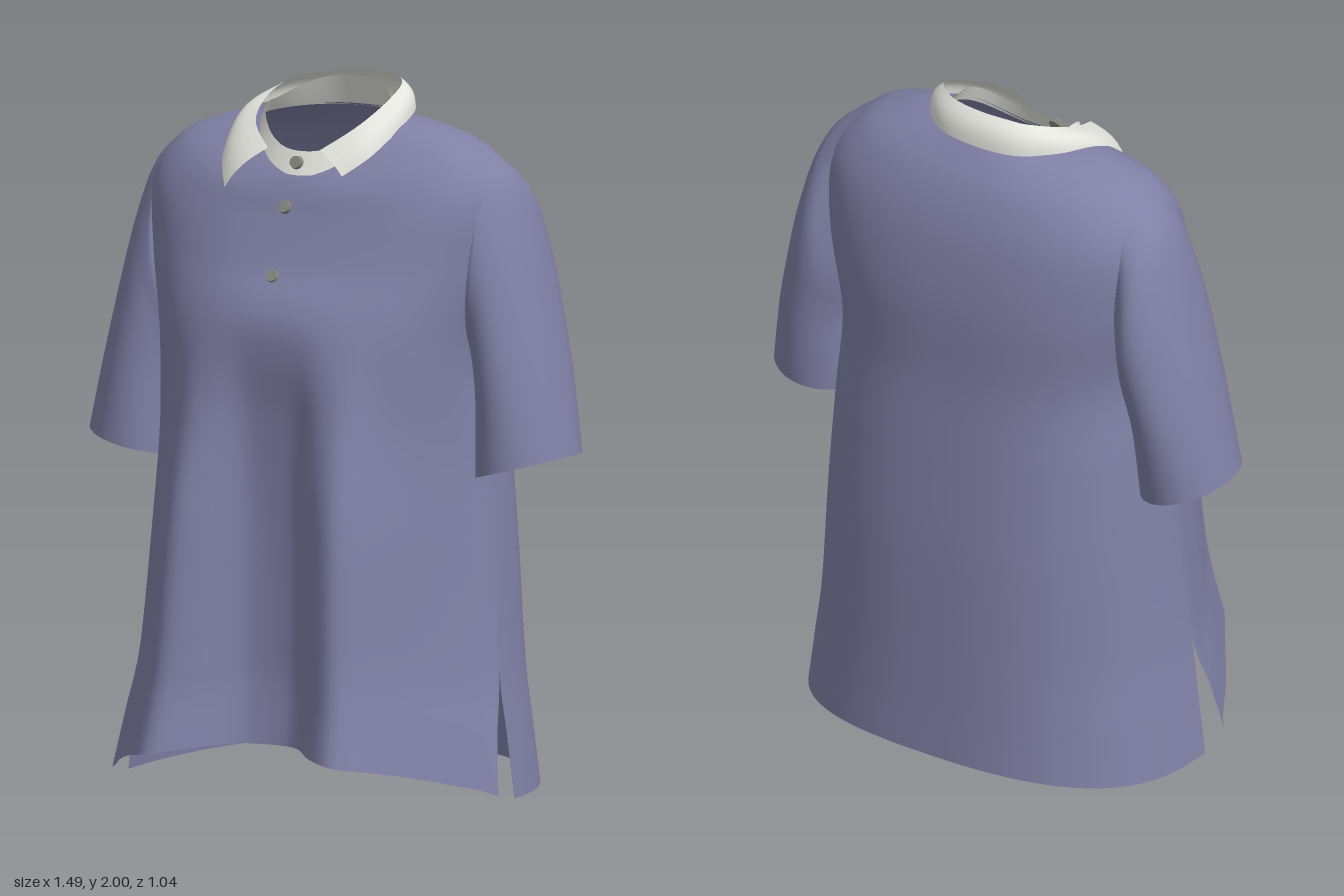
import * as THREE from 'three';
import { mergeGeometries, mergeVertices } from 'three/addons/utils/BufferGeometryUtils.js';

const cloth = new THREE.MeshStandardMaterial({ color: 0x8080a6, side: THREE.DoubleSide });
cloth.name = 'blueViolet cloth';
const white = new THREE.MeshStandardMaterial({ color: 0xe4e4de, side: THREE.DoubleSide });
white.name = 'offWhite collar';
const grey = new THREE.MeshStandardMaterial({ color: 0x8a8a83 });
grey.name = 'grey button';

// Smooth interpolation through evenly spaced values
function spline(values, t) {
  const n = values.length - 1;
  const i = Math.min(Math.floor(t), n - 1), f = t - i;
  const p = (k) => values[Math.max(0, Math.min(n, k))];
  const [a, b, c, d] = [p(i - 1), p(i), p(i + 1), p(i + 2)];
  return b + 0.5 * f * (c - a + f * (2 * a - 5 * b + 4 * c - d + f * (3 * (b - c) + d - a)));
}
const sampleRow = (rows, t) => rows[0].map((_, k) => spline(rows.map((r) => r[k]), t));

// Indexed surface from a function of (u, v) in 0..1, leaving out the quads that skip() picks
function surface(fn, nu, nv, skip = () => false) {
  const pos = [], index = [];
  for (let j = 0; j <= nv; j++) for (let i = 0; i <= nu; i++) pos.push(...fn(i / nu, j / nv));
  for (let j = 0; j < nv; j++) {
    for (let i = 0; i < nu; i++) {
      if (skip((i + 0.5) / nu, (j + 0.5) / nv)) continue;
      const a = j * (nu + 1) + i, b = a + 1, c = a + nu + 1, d = c + 1;
      index.push(a, b, d, a, d, c);
    }
  }
  const g = new THREE.BufferGeometry();
  g.setAttribute('position', new THREE.Float32BufferAttribute(pos, 3));
  g.setIndex(index);
  return g;
}

// Weld coincident corners and smooth
function smooth(...parts) {
  const g = mergeVertices(mergeGeometries(parts), 1e-4);
  g.computeVertexNormals();
  return g;
}

// Body rows, hem to neck: front y, front side y, back side y, back y, half width,
// front side z, back side z, front z, back z, drape, squareness
const bodyRows = [
  [0.16, 0.02, 0.0, 0.05, 0.603, 0.09, -0.01, 0.53, -0.522, 1, 2.5],
  [0.30, 0.18, 0.18, 0.19, 0.58, 0.05, -0.01, 0.493, -0.513, 0.92, 2.5],
  [0.43, 0.36, 0.36, 0.36, 0.557, -0.01, -0.01, 0.475, -0.505, 0.8, 2.5],
  [0.80, 0.70, 0.70, 0.68, 0.525, -0.06, -0.06, 0.44, -0.49, 0.65, 2.5],
  [1.08, 1.00, 1.00, 0.95, 0.495, -0.10, -0.10, 0.38, -0.465, 0.35, 2.5],
  [1.34, 1.25, 1.25, 1.20, 0.48, -0.10, -0.10, 0.322, -0.44, 0, 2.5],
  [1.50, 1.50, 1.50, 1.45, 0.525, -0.11, -0.11, 0.243, -0.43, 0, 2.5],
  [1.62, 1.70, 1.70, 1.65, 0.535, -0.11, -0.11, 0.19, -0.395, 0, 2.5],
  [1.69, 1.815, 1.815, 1.78, 0.455, -0.10, -0.10, 0.165, -0.345, 0, 2.4],
  [1.73, 1.87, 1.87, 1.85, 0.33, -0.10, -0.10, 0.145, -0.295, 0, 2.2],
  [1.76, 1.895, 1.895, 1.895, 0.20, -0.09, -0.09, 0.125, -0.25, 0, 2],
];
const standRows = [
  [1.745, 1.88, 1.88, 1.89, 0.208, -0.09, -0.09, 0.137, -0.255, 0, 2],
  [1.81, 1.92, 1.92, 1.98, 0.18, -0.06, -0.06, 0.108, -0.215, 0, 2],
];
// Two hanging front folds with a hollow between them, centre to side
const drapeProfile = [0.55, 0.6, 0.88, 0.97, 0.68, 0.35, 0];

// Point on the front or back half at row t; angle runs from -PI/2 to PI/2 across it
function shellPoint(rows, t, front, angle) {
  const [yf, ysf, ysb, yb, w, zsf, zsb, zf, zb, drape, n] = sampleRow(rows, t);
  const s = Math.sin(angle), u = Math.min(1, Math.abs(s));
  const round = Math.pow(1 - Math.pow(u, n), 1 / n);
  const k = front ? THREE.MathUtils.lerp(round, spline(drapeProfile, u * 6), drape) : round;
  const [yc, ys, zc, zs] = front ? [yf, ysf, zf, zsf] : [yb, ysb, zb, zsb];
  return [w * s, ys + (yc - ys) * (1 - Math.pow(u, 2.5)), zs + (zc - zs) * k];
}

// Armhole: an oval on the body, centred on the side seam
const armhole = { row: 6.5, rows: 1.6, front: 0.36, back: 0.45 };

function shell(rows, from, to, nv, skip) {
  const half = (front) => surface(
    (a, b) => shellPoint(rows, from + (to - from) * b, front, (a - 0.5) * Math.PI * (front ? 1 : -1)),
    64, nv,
    skip && ((a, b) => skip(from + (to - from) * b, front, Math.PI * Math.min(a, 1 - a))),
  );
  return smooth(half(true), half(false));
}
const insideArmhole = (t, front, fromSeam) =>
  Math.hypot((t - armhole.row) / armhole.rows, fromSeam / (front ? armhole.front : armhole.back)) < 0.9;

// Sleeve rings below the armhole: outer x, y, inner x, y, centre z, half depth
const sleeveRings = [
  [0.548, 1.735, 0.465, 1.215, -0.125, 0.192],
  [0.605, 1.58, 0.468, 1.20, -0.125, 0.198],
  [0.655, 1.38, 0.472, 1.17, -0.118, 0.196],
  [0.70, 1.18, 0.475, 1.10, -0.108, 0.19],
  [0.743, 0.97, 0.475, 0.90, -0.09, 0.178],
];
function sleeve(side, from, to, nv) {
  return smooth(surface((a, b) => {
    const c = Math.cos(a * Math.PI * 2), s = Math.sin(a * Math.PI * 2);
    const front = s >= 0;
    const spread = Math.abs(s) * (front ? armhole.front : armhole.back);
    const path = [shellPoint(bodyRows, armhole.row + armhole.rows * c, front, Math.PI / 2 - spread)];
    for (const [ox, oy, ix, iy, zc, rz] of sleeveRings) {
      path.push([(ox + ix + c * (ox - ix)) / 2 - 0.012 * s, (oy + iy + c * (oy - iy)) / 2, zc + rz * s]);
    }
    const [x, y, z] = sampleRow(path, from + (to - from) * b);
    return [side * x, y, z];
  }, 48, nv));
}

// Folded collar between its top fold and its lower edge, left tip round the back to right tip
const foldLine = [
  [0.065, 1.82, 0.13], [0.15, 1.885, 0.06], [0.192, 1.95, -0.06], [0.178, 1.987, -0.16], [0.08, 1.997, -0.228],
  [-0.08, 1.985, -0.222], [-0.17, 1.965, -0.16], [-0.197, 1.925, -0.06], [-0.17, 1.875, 0.06], [-0.10, 1.815, 0.125],
];
const lowerEdge = [
  [0.148, 1.755, 0.16], [0.21, 1.81, 0.09], [0.24, 1.885, -0.06], [0.21, 1.91, -0.18], [0.10, 1.905, -0.265],
  [-0.10, 1.90, -0.262], [-0.215, 1.90, -0.18], [-0.268, 1.88, -0.05], [-0.26, 1.785, 0.085], [-0.215, 1.70, 0.167],
];
function foldedCollar() {
  return smooth(surface((a, b) => {
    const p = sampleRow(foldLine, a * 9), q = sampleRow(lowerEdge, a * 9);
    const m = p.map((v, k) => v + (q[k] - v) * b);
    const bulge = 1 + 0.05 * Math.sin(Math.PI * b);
    return [m[0] * bulge, m[1] + 0.008 * Math.sin(Math.PI * b), -0.06 + (m[2] + 0.06) * bulge];
  }, 54, 6));
}

export function createModel() {
  const shirt = new THREE.Group();
  shirt.name = 'shirt';
  const add = (name, geometry, material) => {
    const mesh = new THREE.Mesh(geometry, material);
    mesh.name = name;
    shirt.add(mesh);
    return mesh;
  };

  // Body with side slits and open armholes, and its hem
  add('body', shell(bodyRows, 1, 10, 90, insideArmhole), cloth);
  add('hemBand', shell(bodyRows, 0, 1, 8), cloth);

  // Sleeves and cuffs
  for (const [side, label] of [[1, 'left'], [-1, 'right']]) {
    add(label + 'Sleeve', sleeve(side, 0, 4, 36), cloth);
    add(label + 'Cuff', sleeve(side, 4, 5, 8), cloth);
  }

  // Collar
  add('collarStand', shell(standRows, 0, 1, 4), white);
  add('collarFold', foldedCollar(), white);

  // Buttons down the front opening
  for (const [x, y, z, tilt] of [[-0.01, 1.78, 0.128, 0.3], [-0.02, 1.66, 0.178, 0.4], [-0.02, 1.475, 0.258, 0.45]]) {
    const button = add('button', new THREE.CylinderGeometry(0.017, 0.02, 0.016, 20), grey);
    button.position.set(x, y, z);
    button.rotation.x = Math.PI / 2 - tilt;
  }
  return shirt;
}
